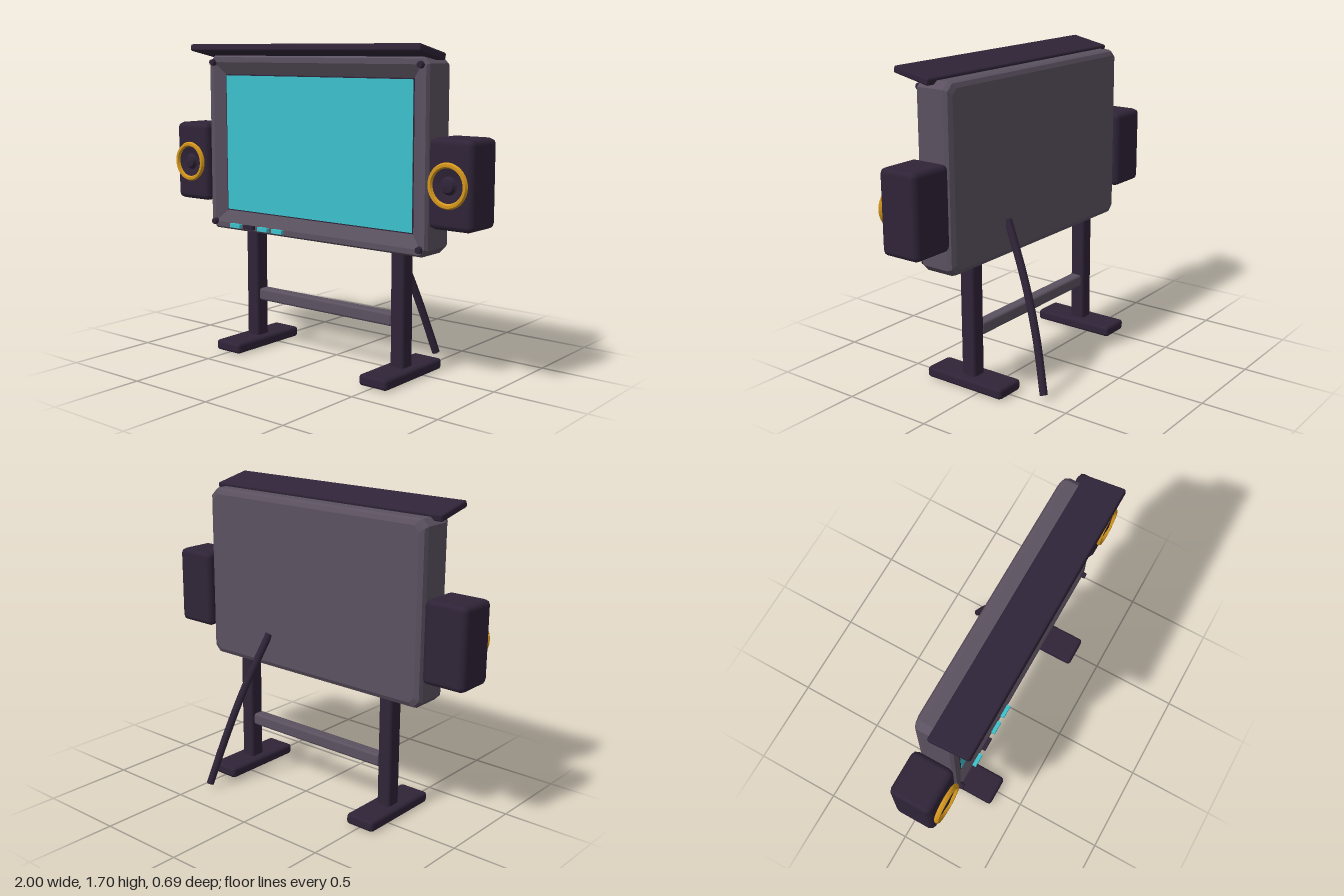
import * as THREE from 'three';
import { RoundedBoxGeometry } from 'three/addons/geometries/RoundedBoxGeometry.js';

const material = (name, color) => {
  const m = new THREE.MeshStandardMaterial({ color });
  m.name = name;
  return m;
};

// Rectangle with cut corners, counter-clockwise seen from +z
function rectLoop([hx, hy, z, c]) {
  return [
    [hx, -hy + c], [hx, hy - c], [hx - c, hy], [-hx + c, hy],
    [-hx, hy - c], [-hx, -hy + c], [-hx + c, -hy], [hx - c, -hy],
  ].map(([x, y]) => [x, y, z]);
}

// Stitches rectangle loops, listed from the back, into a flat-shaded shell
function loftRects(sections) {
  const loops = sections.map(rectLoop);
  const pos = [];
  for (let k = 0; k < loops.length - 1; k++) {
    const a = loops[k], b = loops[k + 1];
    for (let i = 0; i < 8; i++) {
      const j = (i + 1) % 8;
      pos.push(...a[i], ...a[j], ...b[j], ...a[i], ...b[j], ...b[i]);
    }
  }
  const g = new THREE.BufferGeometry();
  g.setAttribute('position', new THREE.Float32BufferAttribute(pos, 3));
  g.computeVertexNormals();
  return g;
}

function flat(geometry) {
  const g = geometry.toNonIndexed();
  g.computeVertexNormals();
  return g;
}

export function createModel() {
  const model = new THREE.Group();
  model.name = 'displayBoard';
  const dark = material('dark plum', 0x2f2438);
  const grey = material('purple grey', 0x5b5160);
  const cyan = material('screen cyan', 0x3cc2cc);
  const gold = material('gold', 0xd4961c);

  function add(name, geometry, mat, x = 0, y = 0, z = 0, parent = model) {
    const mesh = new THREE.Mesh(geometry, mat);
    mesh.name = name;
    mesh.position.set(x, y, z);
    parent.add(mesh);
    return mesh;
  }
  const block = (w, h, d, r) => new RoundedBoxGeometry(w, h, d, 1, r);

  // Cabinet with bevelled edges and a sloping recess around the screen
  const midY = 1.157;
  add('cabinet', loftRects([
    [0, 0, 0.018, 0],
    [0.705, 0.455, 0.018, 0.03],
    [0.73, 0.478, 0.029, 0.035],
    [0.738, 0.486, 0.052, 0.035],
    [0.738, 0.486, 0.208, 0.035],
    [0.727, 0.475, 0.225, 0.03],
    [0.7, 0.447, 0.225, 0.002],
    [0.634, 0.379, 0.188, 0.001],
    [0, 0, 0.188, 0],
  ]), grey, 0, midY);
  add('screenSurround', new THREE.BoxGeometry(1.276, 0.762, 0.006), dark, 0, midY, 0.189);
  add('screen', new THREE.BoxGeometry(1.264, 0.75, 0.006), cyan, 0, midY, 0.191);

  // Bolts at the cabinet corners
  const boltGeo = new THREE.CylinderGeometry(0.016, 0.02, 0.025, 8).rotateX(Math.PI / 2);
  for (const x of [-0.7, 0.7]) {
    for (const y of [0.71, 1.603]) add('cornerBolt', boltGeo, dark, x, y, 0.2325);
  }

  // Row of buttons under the screen
  [-0.535, -0.433, -0.328, -0.224].forEach((x, i) => {
    add('button', new THREE.BoxGeometry(0.074, 0.022, 0.03), i === 1 ? dark : cyan, x, 0.699, 0.23);
  });

  // Tilted hood over the screen
  add('hood', block(1.535, 0.038, 0.225, 0.01), dark, 0, 1.663, 0.226).rotation.x = -0.21;

  // Speaker parts
  const speakerGeo = block(0.248, 0.44, 0.23, 0.03);
  const ringGeo = flat(new THREE.TorusGeometry(0.098, 0.014, 6, 36));
  const cone = [[0.095, 0], [0.09, 0.014], [0.045, 0.004], [0.037, 0.012], [0.032, 0.022], [0, 0.027]];
  const coneGeo = flat(new THREE.LatheGeometry(
    cone.map(([r, y]) => new THREE.Vector2(r, y)), 24).rotateX(Math.PI / 2));

  for (const s of [-1, 1]) {
    const side = s > 0 ? 'left' : 'right';

    const speaker = new THREE.Group();
    speaker.name = side + 'Speaker';
    speaker.position.set(s * 0.874, 1.04, 0.124);
    model.add(speaker);
    add('speakerBox', speakerGeo, dark, 0, 0, 0, speaker);
    add('speakerRing', ringGeo, gold, 0, 0, 0.13, speaker);
    add('speakerCone', coneGeo, dark, 0, 0, 0.114, speaker);
    // Short bracket joining the speaker to the cabinet
    add('speakerBracket', new THREE.BoxGeometry(0.04, 0.1, 0.08), dark, s * -0.13, 0, 0, speaker);

    // Post and foot
    add(side + 'Post', block(0.083, 0.65, 0.088, 0.014), dark, s * 0.505, 0.355, 0.095);
    add(side + 'Foot', block(0.175, 0.06, 0.5, 0.018), dark, s * 0.505, 0.03, 0.095);
  }

  // Crossbar between the posts
  add('crossbar', block(0.925, 0.07, 0.07, 0.014), grey, 0, 0.3, 0.095);

  // Curved strut from the back of the cabinet to the ground
  const path = new THREE.CatmullRomCurve3([
    new THREE.Vector3(0.29, 0.87, 0.02),
    new THREE.Vector3(0.345, 0.57, -0.132),
    new THREE.Vector3(0.39, 0.31, -0.235),
    new THREE.Vector3(0.443, 0.025, -0.322),
  ]);
  add('rearStrut', new THREE.TubeGeometry(path, 14, 0.021, 8), dark);
  const end = path.getPoint(1);
  const cap = add('strutEnd', new THREE.CircleGeometry(0.021, 8), dark, end.x, end.y, end.z);
  cap.lookAt(end.clone().add(path.getTangent(1)));

  return model;
}
